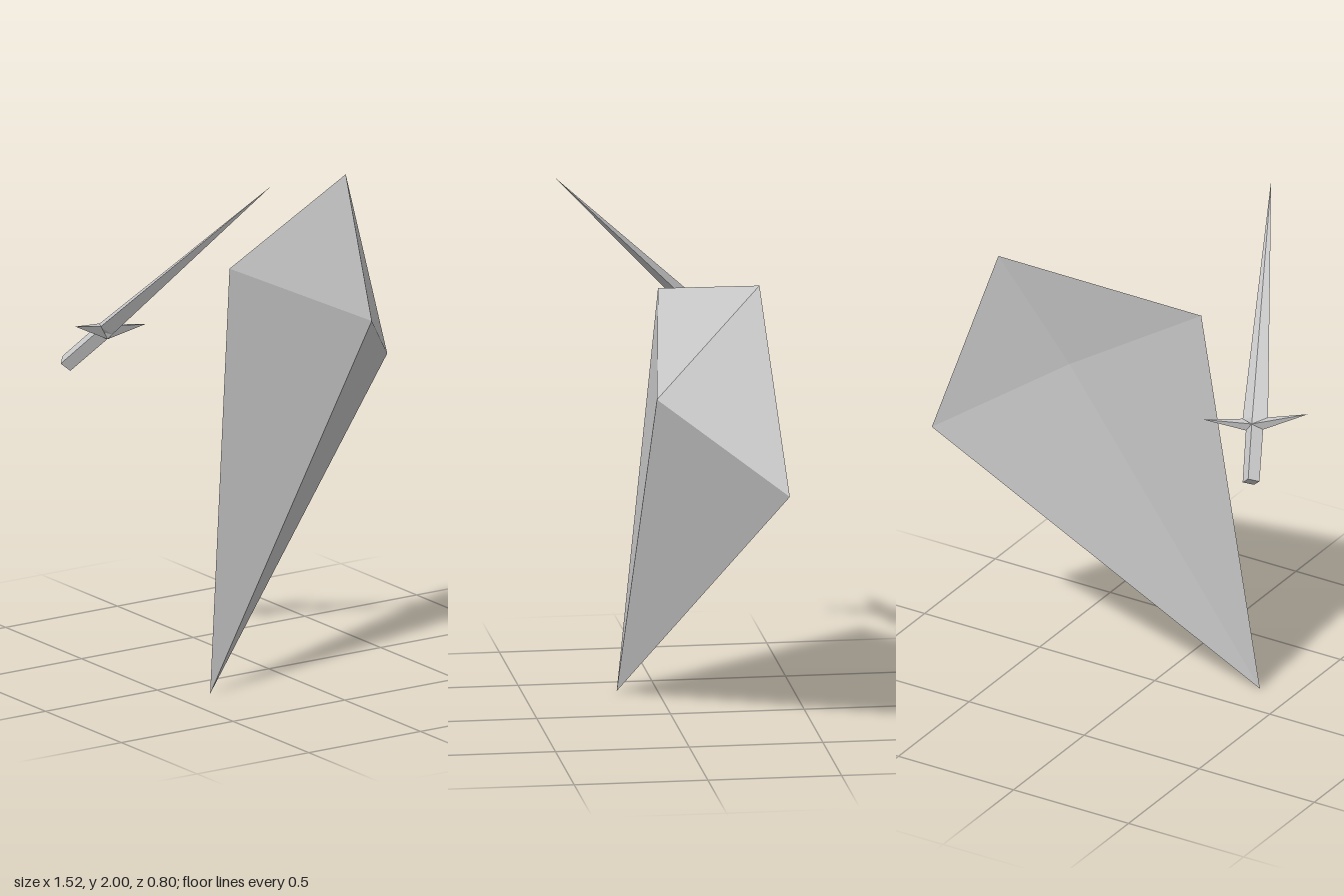
import * as THREE from 'three';

const V = (x, y, z) => new THREE.Vector3(x, y, z);
const material = new THREE.MeshStandardMaterial({ color: 0xcccccc, flatShading: true });

// Triangles from a counter-clockwise rim to an apex
function fan(rim, apex) {
  return rim.flatMap((p, i) => [p, rim[(i + 1) % rim.length], apex]);
}

// Side walls between two rings of equal length
function wall(low, high) {
  return low.flatMap((p, i) => {
    const j = (i + 1) % low.length;
    return [p, low[j], high[j], p, high[j], high[i]];
  });
}

function facetMesh(name, points) {
  const geometry = new THREE.BufferGeometry().setFromPoints(points);
  geometry.computeVertexNormals();
  const mesh = new THREE.Mesh(geometry, material);
  mesh.name = name;
  return mesh;
}

// Diamond cross-section, a = half width, b = half thickness
const diamond = (y, a, b) => [V(0, y, b), V(a, y, 0), V(0, y, -b), V(-a, y, 0)];

function createShield() {
  // Kite-shaped rim, raised boss in front, shallow hollow behind
  const rim = [V(-0.19, 1.58, 0.02), V(-0.365, 0, 0.15), V(0.76, 1.01, -0.34), V(0.52, 1.76, -0.26)];
  const centre = V(0.285, 1.295, -0.155);
  const normal = V(0.371, 0.031, 0.928).normalize();
  const at = (d) => centre.clone().addScaledVector(normal, d);
  return facetMesh('shield', [...fan(rim, at(0.28)), ...fan([...rim].reverse(), at(0.05))]);
}

function createSword() {
  const sword = new THREE.Group();
  sword.name = 'sword';

  // Blade tapering to a point
  const bladeBase = diamond(0.03, 0.05, 0.033);
  const middle = diamond(0, 0.034, 0.034);
  sword.add(facetMesh('blade', [...wall(middle, bladeBase), ...fan(bladeBase, V(0, 0.97, 0))]));

  // Grip with a closed end
  const gripEnd = diamond(-0.215, 0.033, 0.033);
  sword.add(facetMesh('grip', [...wall(gripEnd, middle), ...fan([...gripEnd].reverse(), V(0, -0.215, 0))]));

  // Two swept guard spikes
  for (const s of [1, -1]) {
    const rim = [V(s * 0.05, 0.035, 0), V(0, 0, 0.035), V(s * 0.033, -0.012, 0), V(0, 0, -0.035)];
    if (s < 0) rim.reverse();
    sword.add(facetMesh(s > 0 ? 'guardLeft' : 'guardRight', fan(rim, V(s * 0.207, 0.04, 0))));
  }

  // Tilt: local y runs along the blade, local x along the guard
  const along = V(0.328, 0.681, 0.655).normalize();
  const across = V(0.944, -0.194, -0.266);
  across.addScaledVector(along, -across.dot(along)).normalize();
  const basis = new THREE.Matrix4().makeBasis(across, along, across.clone().cross(along));
  sword.quaternion.setFromRotationMatrix(basis);
  sword.position.set(-0.58, 1.34, -0.237);
  return sword;
}

export function createModel() {
  const model = new THREE.Group();
  model.name = 'swordAndShield';
  model.add(createShield(), createSword());
  return model;
}
